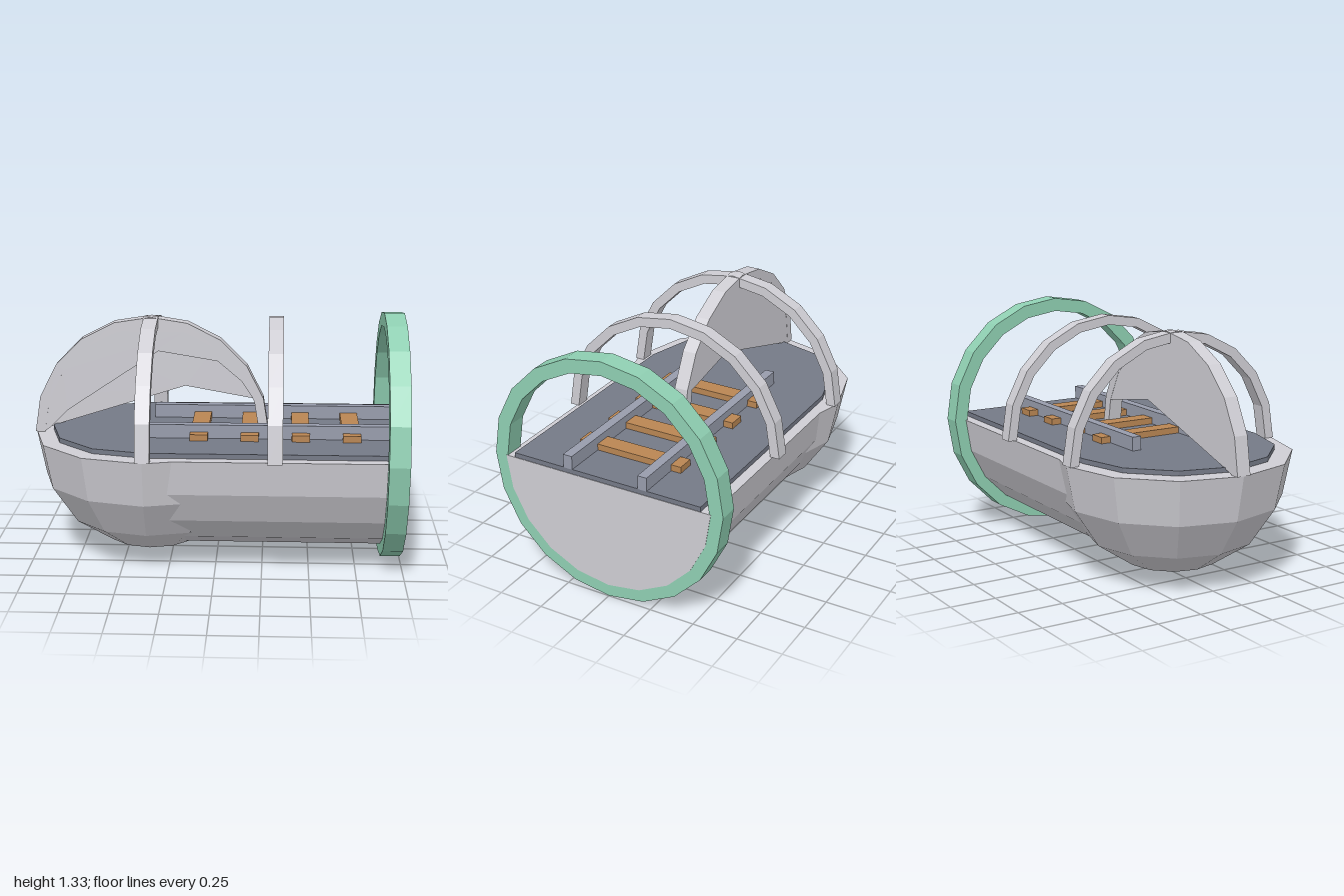
import * as THREE from 'three';

const CY = 0.667;   // height of the hull axis and deck line
const DOME = -0.36; // x of the dome centre

const mat = (name, color, opts = {}) => {
  const m = new THREE.MeshStandardMaterial({ color, flatShading: true, ...opts });
  m.name = name;
  return m;
};

// points on an arc, angles in degrees
const arc = (r, from, to, steps) => Array.from({ length: steps + 1 }, (_, i) => {
  const a = THREE.MathUtils.degToRad(from + (to - from) * i / steps);
  return new THREE.Vector2(r * Math.cos(a), r * Math.sin(a));
});
const extrude = (shape, depth) =>
  new THREE.ExtrudeGeometry(shape, { depth, bevelEnabled: false });

export function createModel() {
  const group = new THREE.Group();
  const grey = mat('lightGrey', 0xcfced4);
  const greySheet = mat('lightGrey', 0xcfced4);
  greySheet.side = THREE.DoubleSide;
  const green = mat('mintGreen', 0x8fcfb2);
  const slate = mat('slateDeck', 0x757a87);
  const steel = mat('railGrey', 0x979cac);
  const wood = mat('wood', 0xb98653);

  const add = (name, geo, material, x = 0, y = 0, z = 0) => {
    const mesh = new THREE.Mesh(geo, material);
    mesh.name = name;
    mesh.position.set(x, y, z);
    group.add(mesh);
    return mesh;
  };

  // half-barrel hull, closed at the end
  const hull = extrude(new THREE.Shape(arc(0.6, 180, 360, 10)), 1 - DOME);
  hull.rotateY(Math.PI / 2);
  add('hull', hull, grey, DOME, CY, 0);

  // faceted dome with a flat rim
  add('domeHull', new THREE.SphereGeometry(0.64, 12, 4, 0, Math.PI * 2, Math.PI / 2, Math.PI / 2),
    grey, DOME, CY, 0);
  add('domeRim', new THREE.CircleGeometry(0.64, 12).rotateX(-Math.PI / 2), grey, DOME, CY, 0);

  // deck, rounded over the dome
  const deckShape = new THREE.Shape([
    ...arc(0.545, 90, 270, 6),
    new THREE.Vector2(1 - DOME, -0.545),
    new THREE.Vector2(1 - DOME, 0.545),
  ]);
  add('deck', extrude(deckShape, 0.026).rotateX(-Math.PI / 2), slate, DOME, CY + 0.002, 0);

  // sleepers and rails
  for (let i = 0; i < 4; i++) {
    add('sleeper', new THREE.BoxGeometry(0.095, 0.035, 0.6), wood, -0.09 + i * 0.27, 0.712, 0);
  }
  for (const s of [-1, 1]) {
    add('rail', new THREE.BoxGeometry(1 - DOME, 0.075, 0.052), steel, (1 + DOME) / 2, 0.731, s * 0.218);
  }

  // end ring
  const ringShape = new THREE.Shape(arc(0.667, 0, 342, 19));
  ringShape.holes.push(new THREE.Path(arc(0.592, 0, 342, 19)));
  add('endRing', extrude(ringShape, 0.108).rotateY(Math.PI / 2), green, 0.89, CY, 0);

  // half-round canopy arches: two across, one lengthwise over the dome
  const archGeo = () => extrude(
    new THREE.Shape([...arc(0.64, 0, 180, 10), ...arc(0.588, 180, 0, 10)]), 0.078
  ).translate(0, 0, -0.039);
  for (const x of [DOME, 0.316]) {
    add('crossArch', archGeo().rotateY(Math.PI / 2), grey, x, CY, 0);
  }
  add('lengthArch', archGeo(), grey, DOME, CY, 0);

  // thin side panels filling part of the lengthwise arch
  const panels = [
    [0.038, [[0.13, 0.96], [0, 1.07], [-0.32, 1.123], [-0.82, 0.79], [-0.92, 0.69]]],
    [-0.038, [[0.18, 0.85], [-0.18, 0.915], [-0.875, 0.695]]],
  ];
  for (const [z, edge] of panels) {
    const shape = new THREE.Shape([
      ...arc(0.592, 180, 18, 9),
      ...edge.map(([x, y]) => new THREE.Vector2(x - DOME, y - CY)),
    ]);
    add('archPanel', new THREE.ShapeGeometry(shape), greySheet, DOME, CY, z);
  }
  return group;
}
